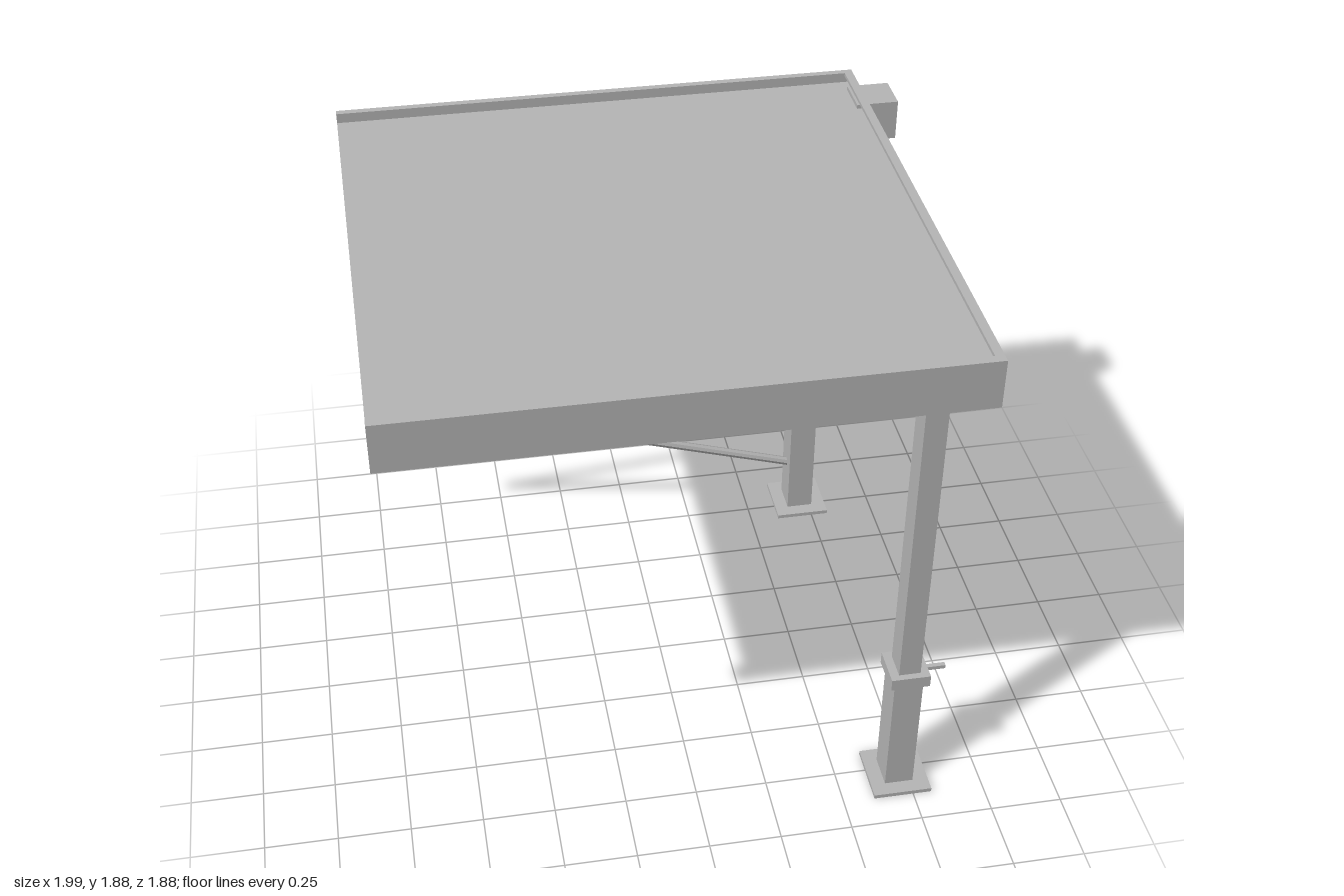
import * as THREE from 'three';

const steel = new THREE.MeshStandardMaterial({ color: 0xb6b6b6 });
steel.name = 'greySteel';

// Box given by its min and max corners
function slab(parent, name, x0, x1, y0, y1, z0, z1) {
  const m = new THREE.Mesh(new THREE.BoxGeometry(x1 - x0, y1 - y0, z1 - z0), steel);
  m.position.set((x0 + x1) / 2, (y0 + y1) / 2, (z0 + z1) / 2);
  m.name = name;
  parent.add(m);
  return m;
}

// Faceted rod between two points
function rod(parent, name, a, b, r) {
  const d = b.clone().sub(a);
  const geo = new THREE.CylinderGeometry(r, r, d.length(), 8).toNonIndexed();
  geo.computeVertexNormals();
  const m = new THREE.Mesh(geo, steel);
  m.position.copy(a).add(b).multiplyScalar(0.5);
  m.quaternion.setFromUnitVectors(new THREE.Vector3(0, 1, 0), d.normalize());
  m.name = name;
  parent.add(m);
}

// Cross-section in (z, y) extruded along x
function extrudeX(parent, name, pts, x0, x1) {
  const shape = new THREE.Shape(pts.map(([z, y]) => new THREE.Vector2(-z, y)));
  const m = new THREE.Mesh(new THREE.ExtrudeGeometry(shape, { depth: x1 - x0, bevelEnabled: false }), steel);
  m.rotation.y = Math.PI / 2;
  m.position.x = x0;
  m.name = name;
  parent.add(m);
}

function makeLeg(z) {
  const leg = new THREE.Group();
  leg.name = 'leg';
  slab(leg, 'footPlate', 0.61, 0.815, 0, 0.015, -0.108, 0.108);
  slab(leg, 'lowerTube', 0.66, 0.76, 0.015, 0.49, -0.058, 0.058);
  slab(leg, 'collar', 0.645, 0.78, 0.485, 0.53, -0.07, 0.07);
  slab(leg, 'lockingPin', 0.78, 0.85, 0.498, 0.512, -0.008, 0.008);
  slab(leg, 'upperTube', 0.675, 0.75, 0.53, 1.71, -0.047, 0.047);
  slab(leg, 'headPlate', 0.665, 0.78, 1.69, 1.712, -0.015, 0.105);
  slab(leg, 'headTab', 0.763, 0.78, 1.685, 1.712, -0.05, -0.015);
  leg.position.z = z;
  return leg;
}

export function createModel() {
  const model = new THREE.Group();
  model.name = 'adjustablePlatform';

  // Two telescopic legs
  for (const z of [0.778, -0.778]) model.add(makeLeg(z));

  // Triangular brace on the rear leg
  const apex = new THREE.Vector3(-0.985, 0.72, -0.778);
  for (const [x, y] of [[0.68, 1.24], [0.665, 0.21]]) {
    rod(model, 'brace', new THREE.Vector3(x, y, -0.778), apex, 0.017);
  }

  // Front channel, opening inward
  extrudeX(model, 'frontChannel', [
    [0.935, 1.71], [0.935, 1.88], [0.905, 1.88], [0.905, 1.868], [0.923, 1.868],
    [0.923, 1.722], [0.865, 1.722], [0.865, 1.71],
  ], -1, 0.87);

  // Rear channel with a groove below its top lip
  extrudeX(model, 'rearChannel', [
    [-0.935, 1.71], [-0.865, 1.71], [-0.865, 1.722], [-0.923, 1.722], [-0.923, 1.828],
    [-0.91, 1.828], [-0.91, 1.88], [-0.935, 1.88], [-0.935, 1.862], [-0.92, 1.862],
    [-0.92, 1.838], [-0.935, 1.838],
  ], -1, 0.87);
  slab(model, 'cornerPlate', 0.81, 0.872, 1.715, 1.845, -0.94, -0.92);

  // End channel
  slab(model, 'endWeb', 0.858, 0.87, 1.71, 1.88, -0.935, 0.935);
  slab(model, 'endTopLip', 0.84, 0.86, 1.868, 1.88, -0.934, 0.934);
  slab(model, 'endBottomFlange', 0.8, 0.86, 1.71, 1.722, -0.934, 0.934);

  // Deck and its cross beams
  slab(model, 'deck', -1, 0.858, 1.82, 1.845, -0.91, 0.915);
  for (const x of [-0.985, -0.06]) slab(model, 'crossBeam', x, x + 0.045, 1.75, 1.82, -0.88, 0.88);

  // Socket block with two square openings
  const square = (s, cx, cy) => [[-s, -s], [s, -s], [s, s], [-s, s]]
    .map(([a, b]) => new THREE.Vector2(cx + a, cy + b));
  const face = new THREE.Shape(square(0.073, 0, 0));
  for (const y of [-0.043, 0.043]) face.holes.push(new THREE.Path(square(0.019, 0, y).reverse()));
  const socket = new THREE.Mesh(new THREE.ExtrudeGeometry(face, { depth: 0.085, bevelEnabled: false }), steel);
  socket.rotation.y = Math.PI / 2;
  socket.position.set(0.9, 1.787, -0.775);
  socket.name = 'socketBlock';
  model.add(socket);
  slab(model, 'socketBack', 0.835, 0.9, 1.714, 1.86, -0.848, -0.702);

  return model;
}
